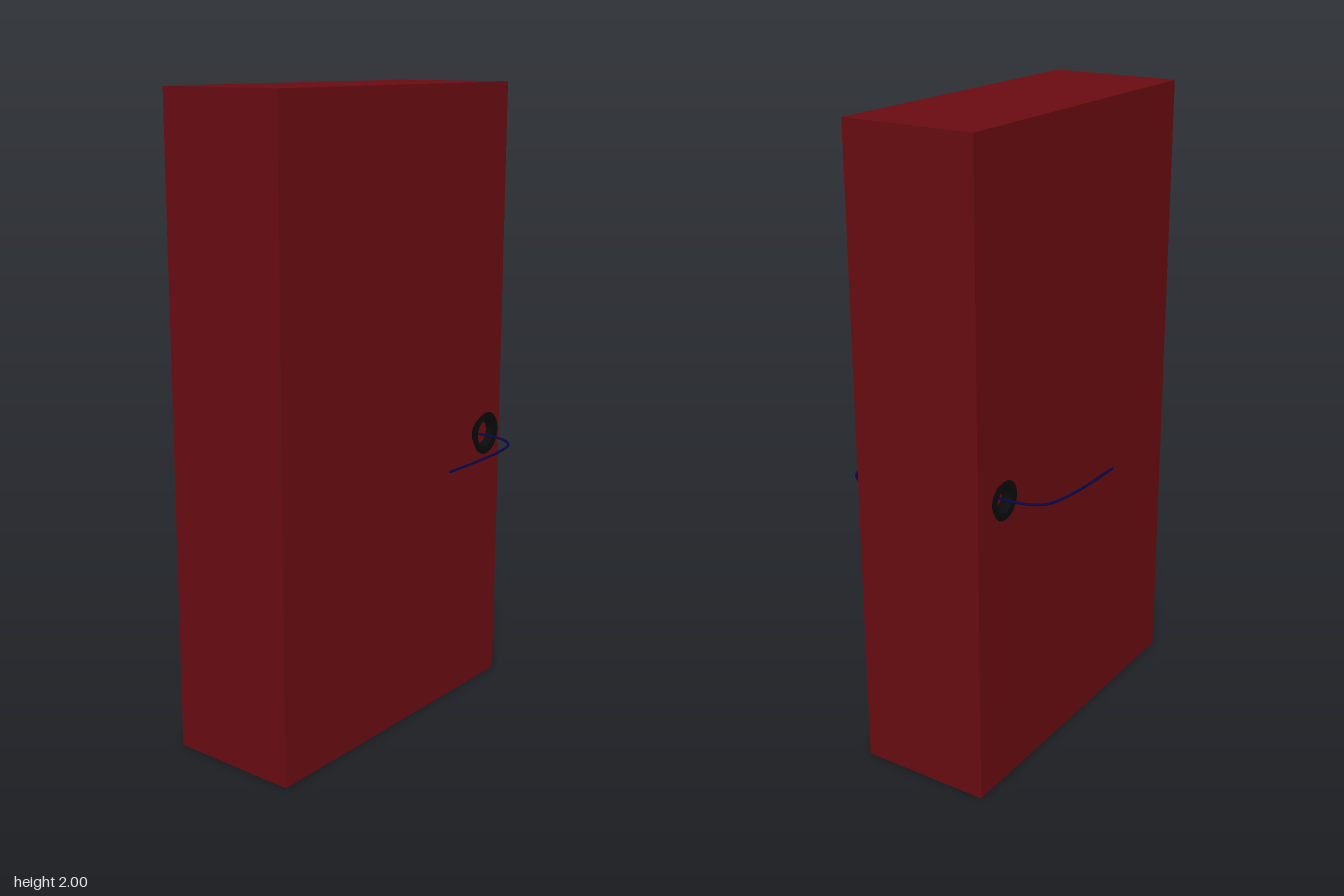
import * as THREE from 'three';

const red = new THREE.MeshStandardMaterial({ color: 0x6b0c12 });
const black = new THREE.MeshStandardMaterial({ color: 0x0b0b0b, side: THREE.DoubleSide });
const navy = new THREE.MeshStandardMaterial({ color: 0x06064a });

// Flared, open ring standing off a door face; profile is [radius, height]
function makeRose(name, profile, side, x, y, z) {
  const points = profile.map(([r, h]) => new THREE.Vector2(r, h));
  const geometry = new THREE.LatheGeometry(points, 32).toNonIndexed();
  geometry.computeVertexNormals();
  const rose = new THREE.Mesh(geometry, black);
  rose.name = name;
  rose.rotation.z = -side * Math.PI / 2;
  rose.position.set(x, y, z);
  return rose;
}

// Thin bent rod with closed ends, path given as [x, z] at a fixed height
function makeHandle(name, y, path) {
  const handle = new THREE.Group();
  handle.name = name;
  const curve = new THREE.CatmullRomCurve3(path.map(([x, z]) => new THREE.Vector3(x, y, z)));
  const rod = new THREE.Mesh(new THREE.TubeGeometry(curve, 48, 0.004, 8), navy);
  rod.name = name + 'Rod';
  const tip = new THREE.Mesh(new THREE.CircleGeometry(0.004, 8), navy);
  tip.name = name + 'Tip';
  tip.position.copy(curve.getPoint(1));
  handle.add(rod, tip);
  return handle;
}

export function createModel() {
  const model = new THREE.Group();
  model.name = 'door';

  // Door slab
  const slab = new THREE.Mesh(new THREE.BoxGeometry(0.426, 2, 1.09), red);
  slab.name = 'doorSlab';
  slab.position.set(-0.005, 1, 0);
  model.add(slab);

  // Left side: wider rose and longer handle
  model.add(makeRose('leftRose',
    [[0.042, 0], [0.07, 0.026], [0.045, 0.026], [0.04, 0]], 1, 0.208, 0.878, -0.428));
  model.add(makeHandle('leftHandle', 0.87, [
    [0.208, -0.429], [0.24, -0.429], [0.304, -0.42], [0.356, -0.375],
    [0.376, -0.288], [0.383, -0.187], [0.383, -0.013],
  ]));

  // Right side: smaller rose with a rounded back, set a little higher
  model.add(makeRose('rightRose',
    [[0.02, 0], [0.05, 0.016], [0.06, 0.027], [0.039, 0.027], [0.034, 0.01], [0.02, 0.001]],
    -1, -0.218, 0.958, -0.448));
  model.add(makeHandle('rightHandle', 0.96, [
    [-0.218, -0.448], [-0.246, -0.448], [-0.301, -0.441], [-0.353, -0.412],
    [-0.376, -0.346], [-0.385, -0.245], [-0.386, -0.09],
  ]));

  return model;
}
